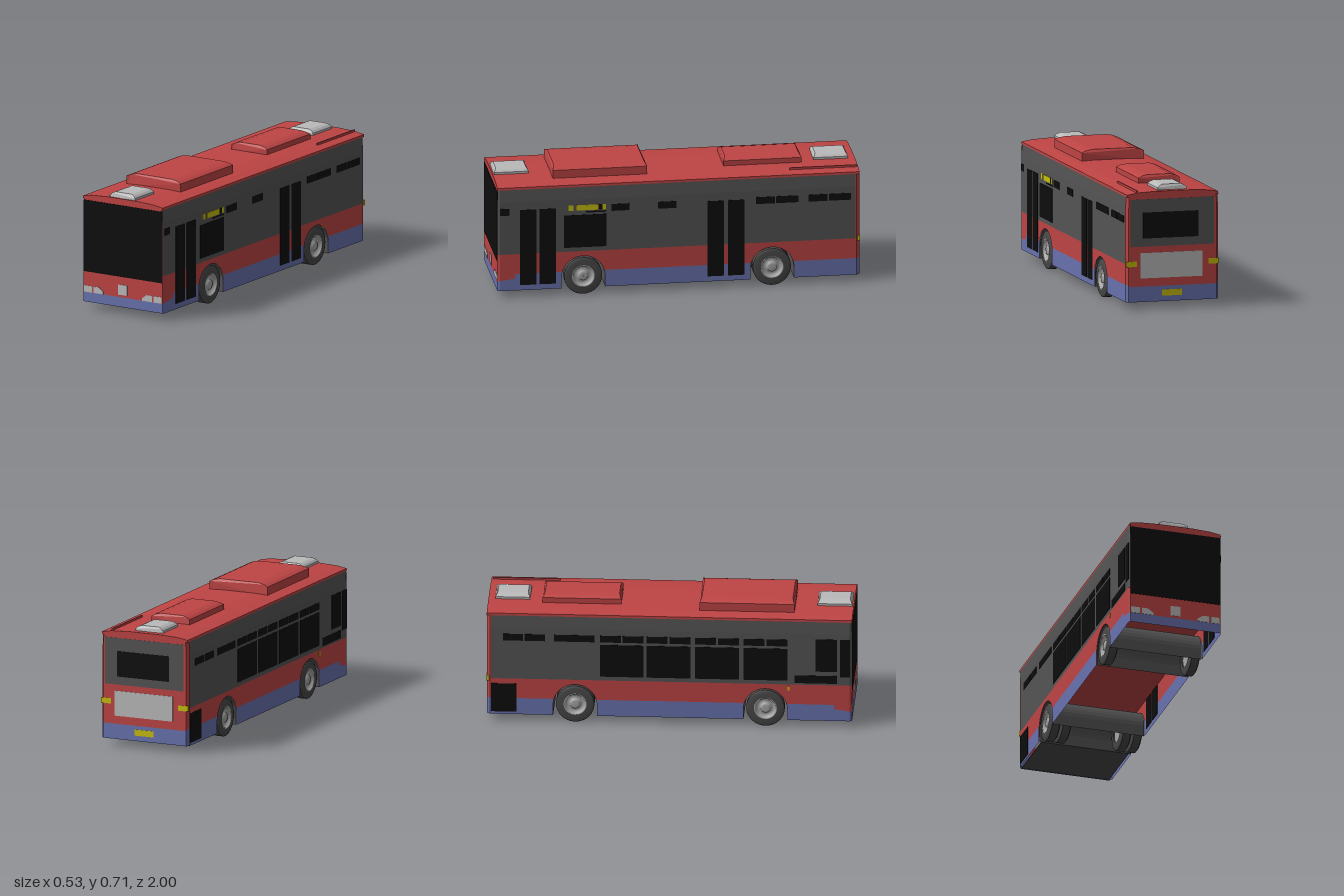
import * as THREE from 'three';

const mat = (name, color, side = THREE.FrontSide) =>
  Object.assign(new THREE.MeshStandardMaterial({ color, side }), { name });

export function createModel() {
  const D = THREE.DoubleSide;
  const red = mat('red paint', 0xbe4444, D);
  const blue = mat('blue skirt', 0x6872ae, D);
  const grey = mat('dark grey band', 0x545454, D);
  const black = mat('black glass', 0x0d0d0d);
  const light = mat('light grey', 0xbababa);
  const yellow = mat('yellow lamps', 0xc6bd0c);
  const tyreMat = mat('tyre rubber', 0x484848);
  const hubMat = mat('wheel metal', 0xa6a6a6);

  const bus = new THREE.Group();
  bus.name = 'bus';
  const add = (name, geo, material, parent = bus) => {
    const m = new THREE.Mesh(geo, material);
    m.name = name;
    parent.add(m);
    return m;
  };

  // Body dimensions
  const W = 0.2635, L = 0.998, BOTTOM = 0.04, BAND = 0.25, TOP = 0.626;
  const axles = [0.525, -0.515];
  const AR = 0.12, AY = 0.102;
  const halfWidth = (y, z) => W - Math.max(0, y - 0.55) * 0.05
    - Math.max(0, z - 0.985) * 0.45 - Math.max(0, -z - 0.98) * 0.7;
  const arch = (z) => {
    for (const a of axles) {
      const d = Math.abs(z - a);
      if (d <= AR) return AY + Math.sqrt(AR * AR - d * d);
    }
    return BOTTOM;
  };
  const skirtTop = (z) => (z > 0.9 ? 0.11 - (z - 0.9) * 0.15 : 0.135);

  // Positions along the body where side walls are divided
  const stations = [-L, -0.98, 0.899, 0.901, 0.985, L];
  for (const a of axles) {
    for (let i = 0; i <= 24; i++) stations.push(a - Math.cos((i / 24) * Math.PI) * AR * 0.99999);
    stations.push(a - AR - 0.0002, a + AR + 0.0002);
  }
  stations.sort((p, q) => p - q);

  const fromQuads = (quads) => {
    const pos = [];
    for (const [a, b, c, d] of quads) pos.push(...a, ...b, ...c, ...a, ...c, ...d);
    const g = new THREE.BufferGeometry();
    g.setAttribute('position', new THREE.Float32BufferAttribute(pos, 3));
    g.computeVertexNormals();
    return g;
  };

  // Wall strip between two height rules, cut away at the wheel arches
  function wall(name, material, lo, hi, z0 = -L, z1 = L) {
    const zs = [z0, ...stations.filter((z) => z > z0 && z < z1), z1];
    for (const s of [1, -1]) {
      const at = (y, z) => [s * halfWidth(y, z), y, z];
      const quads = [];
      for (let i = 0; i < zs.length - 1; i++) {
        const [a, b] = [zs[i], zs[i + 1]];
        const la = Math.max(lo(a), arch(a)), lb = Math.max(lo(b), arch(b));
        const ha = Math.max(hi(a), la), hb = Math.max(hi(b), lb);
        if (ha - la + hb - lb < 1e-6) continue;
        const q = [at(la, a), at(ha, a), at(hb, b), at(lb, b)];
        quads.push(s > 0 ? q : q.reverse());
      }
      add(name + (s > 0 ? 'Left' : 'Right'), fromQuads(quads), material);
    }
  }
  const k = (v) => () => v;
  wall('skirt', blue, k(BOTTOM), skirtTop);
  wall('lowerSide', red, skirtTop, k(BAND));
  wall('windowBand', grey, k(BAND), k(0.55), -0.975);
  wall('upperWindowBand', grey, k(0.55), k(TOP), -0.975);
  wall('rearPillar', red, k(BAND), k(0.55), -L, -0.975);
  wall('upperRearPillar', red, k(0.55), k(TOP), -L, -0.975);

  // Front and rear faces
  function endFace(name, material, s, ys) {
    const quads = [];
    for (let i = 0; i < ys.length - 1; i++) {
      const [y0, y1] = [ys[i], ys[i + 1]], z = s * L;
      const w0 = s * halfWidth(y0, z), w1 = s * halfWidth(y1, z);
      quads.push([[-w0, y0, z], [w0, y0, z], [w1, y1, z], [-w1, y1, z]]);
    }
    add(name, fromQuads(quads), material);
  }
  endFace('frontSkirt', blue, 1, [BOTTOM, 0.095]);
  endFace('frontPanel', red, 1, [0.095, 0.55, TOP]);
  endFace('rearSkirt', blue, -1, [BOTTOM, 0.125]);
  endFace('rearPanel', red, -1, [0.125, 0.55, TOP]);

  // Floor, rear undertray and wheel wells
  const box = (name, material, x0, x1, y0, y1, z0, z1) => {
    const m = add(name, new THREE.BoxGeometry(x1 - x0, y1 - y0, z1 - z0), material);
    m.position.set((x0 + x1) / 2, (y0 + y1) / 2, (z0 + z1) / 2);
    return m;
  };
  box('floor', red, -0.262, 0.262, 0.245, 0.25, -0.99, 0.99);
  box('rearUndertray', tyreMat, -0.25, 0.25, 0.04, 0.044, -0.99, axles[1] - AR);
  for (const a of axles) {
    const prof = [[a - AR, BOTTOM]];
    for (let i = 0; i <= 16; i++) {
      const t = Math.PI * (1 - i / 16);
      prof.push([a + AR * Math.cos(t), AY + AR * Math.sin(t)]);
    }
    prof.push([a + AR, BOTTOM]);
    const quads = prof.slice(1).map(([z, y], i) => {
      const [pz, py] = prof[i];
      return [[-0.262, py, pz], [-0.262, y, z], [0.262, y, z], [0.262, py, pz]];
    });
    add('wheelWell', fromQuads(quads), grey);
  }

  // Cambered roof
  const half = [[0.26, 0.62], [0.2595, 0.633], [0.2, 0.643], [0.1, 0.648]];
  const section = [...half, ...half.map(([x, y]) => [-x, y]).reverse()];
  const roofShape = new THREE.Shape(section.map(([x, y]) => new THREE.Vector2(x, y)));
  add('roof', new THREE.ExtrudeGeometry(roofShape, { depth: 2 * L, bevelEnabled: false }), red)
    .position.z = -L;
  box('roofRail', red, 0.196, 0.204, 0.64, 0.654, -0.99, -0.62);

  // Roof pods and hatches: extruded section with the top pulled in at both ends
  function pod(name, material, x0, x1, z0, z1, h, drop, inset) {
    const pts = [[x0, 0.635], [x1, 0.635], [x1, h - drop], [x1 - inset * 0.4, h - drop * 0.4],
      [x1 - inset, h], [x0 + inset, h], [x0 + inset * 0.4, h - drop * 0.4], [x0, h - drop]];
    const g = new THREE.ExtrudeGeometry(new THREE.Shape(pts.map((p) => new THREE.Vector2(...p))),
      { depth: z1 - z0, bevelEnabled: false });
    g.translate(0, 0, z0);
    const p = g.attributes.position;
    for (let i = 0; i < p.count; i++) {
      const pull = Math.max(0, (p.getY(i) - (h - drop)) / drop) * 0.012;
      p.setZ(i, p.getZ(i) + (p.getZ(i) > (z0 + z1) / 2 ? -pull : pull));
    }
    g.computeVertexNormals();
    add(name, g, material);
  }
  pod('frontRoofPod', red, -0.185, 0.168, 0.16, 0.68, 0.706, 0.016, 0.06);
  pod('rearRoofPod', red, -0.128, 0.104, -0.7, -0.27, 0.692, 0.016, 0.05);
  pod('frontHatch', light, -0.091, 0.074, 0.8, 0.99, 0.678, 0.018, 0.03);
  pod('rearHatch', light, -0.091, 0.074, -0.96, -0.77, 0.678, 0.018, 0.03);

  // Thin plates on the sides (s = 1 is the door side) and on the ends
  const T = 0.002;
  const sidePlate = (name, m, s, z0, z1, y0, y1) =>
    box(name, m, s * W - T, s * W + T, y0, y1, z0, z1);
  const endPlate = (name, m, s, x0, x1, y0, y1, t = T) =>
    box(name, m, x0, x1, y0, y1, s * L - t, s * L + t);

  for (const [z0, z1] of [[0.783, 0.874], [0.676, 0.767], [-0.25, -0.159], [-0.362, -0.271]])
    sidePlate('doorLeaf', black, 1, z0, z1, 0.07, 0.504);
  sidePlate('sideWindow', black, 1, 0.398, 0.633, 0.273, 0.46);
  for (const [z0, z1] of [[0.933, 0.985], [0.27, 0.37], [0.012, 0.114], [-0.53, -0.427],
    [-0.66, -0.537], [-0.82, -0.716], [-0.95, -0.828]])
    sidePlate('ventWindow', black, 1, z0, z1, 0.475, 0.514);
  for (const [z0, z1] of [[0.58, 0.607], [0.442, 0.563], [0.4, 0.42]])
    sidePlate('destinationSign', yellow, 1, z0, z1, 0.486, 0.517);
  sidePlate('signSurround', black, 1, 0.42, 0.442, 0.486, 0.517);
  sidePlate('signLedge', black, 1, 0.4, 0.51, 0.472, 0.48);

  for (const [z0, z1] of [[-0.38, -0.14], [-0.125, 0.115], [0.14, 0.38], [0.405, 0.645]]) {
    const mid = (z0 + z1) / 2;
    sidePlate('sideWindow', black, -1, z0, z1, 0.273, 0.46);
    sidePlate('ventWindow', black, -1, z0, mid - 0.005, 0.475, 0.514);
    sidePlate('ventWindow', black, -1, mid + 0.005, z1, 0.475, 0.514);
  }
  for (const z of [-0.91, -0.79, -0.63, -0.52])
    sidePlate('ventWindow', black, -1, z, z + 0.11, 0.475, 0.514);
  sidePlate('driverWindow', black, -1, 0.8, 0.917, 0.33, 0.52);
  sidePlate('driverFrontWindow', black, -1, 0.932, 0.987, 0.3, 0.52);
  sidePlate('driverLowWindow', black, -1, 0.684, 0.917, 0.26, 0.305);
  sidePlate('engineGrille', black, -1, -0.975, -0.835, 0.055, 0.22);
  sidePlate('sideMarker', yellow, -1, 0.645, 0.658, 0.215, 0.24);

  // Front end
  endPlate('windscreen', black, 1, -0.2575, 0.2575, 0.21, 0.612);
  endPlate('frontBadgePanel', light, 1, -0.029, 0.029, 0.108, 0.165);
  for (const s of [1, -1]) {
    endPlate('outerHeadlight', light, 1, Math.min(s * 0.202, s * 0.253), Math.max(s * 0.202, s * 0.253), 0.095, 0.131);
    const lamp = new THREE.Shape([[0.191, 0.095], [0.191, 0.131], [0.157, 0.131], [0.127, 0.11], [0.127, 0.095]]
      .map(([x, y]) => new THREE.Vector2(s * x, y)));
    add('innerHeadlight', new THREE.ExtrudeGeometry(lamp, { depth: 0.004, bevelEnabled: false }), light)
      .position.z = L - T;
  }

  // Rear end
  endPlate('rearWindowFrame', grey, -1, -0.235, 0.24, 0.345, 0.606, 0.001);
  endPlate('rearWindow', black, -1, -0.148, 0.168, 0.39, 0.533);
  endPlate('rearPanelPlate', light, -1, -0.17, 0.183, 0.17, 0.31);
  endPlate('rearPlateLamp', yellow, -1, -0.053, 0.062, 0.07, 0.104);
  for (const s of [1, -1])
    box('rearCornerLamp', yellow, s * 0.233 - 0.03, s * 0.233 + 0.03, 0.235, 0.265, -1, -0.985);

  // Wheels: single in front, double at the rear
  const lathe = (pts) => new THREE.LatheGeometry(pts.map((p) => new THREE.Vector2(...p)), 32);
  const tyreGeo = lathe([[0.06, -0.028], [0.094, -0.028], [0.105, -0.021], [0.105, -0.021],
    [0.105, 0.021], [0.105, 0.021], [0.094, 0.028], [0.06, 0.028]]);
  const hubGeo = lathe([[0.064, 0.027], [0.061, 0.0295], [0.056, 0.027], [0.049, 0.01], [0.03, 0.012],
    [0.027, 0.022], [0.016, 0.024], [0.0001, 0.024]]);
  const backGeo = new THREE.CylinderGeometry(0.061, 0.061, 0.03, 32);
  function wheel(name, x, z, s) {
    const g = new THREE.Group();
    g.name = name;
    add('tyre', tyreGeo, tyreMat, g);
    add('hub', hubGeo, hubMat, g);
    add('rimBack', backGeo, hubMat, g).position.y = -0.008;
    g.rotation.z = -s * Math.PI / 2;
    g.position.set(x, 0.105, z);
    bus.add(g);
  }
  for (const s of [1, -1]) {
    wheel('frontWheel', s * 0.234, axles[0], s);
    wheel('rearOuterWheel', s * 0.234, axles[1], s);
    wheel('rearInnerWheel', s * 0.172, axles[1], s);
  }

  bus.position.x = -0.0035;
  const model = new THREE.Group();
  model.name = 'cityBus';
  model.add(bus);
  return model;
}
